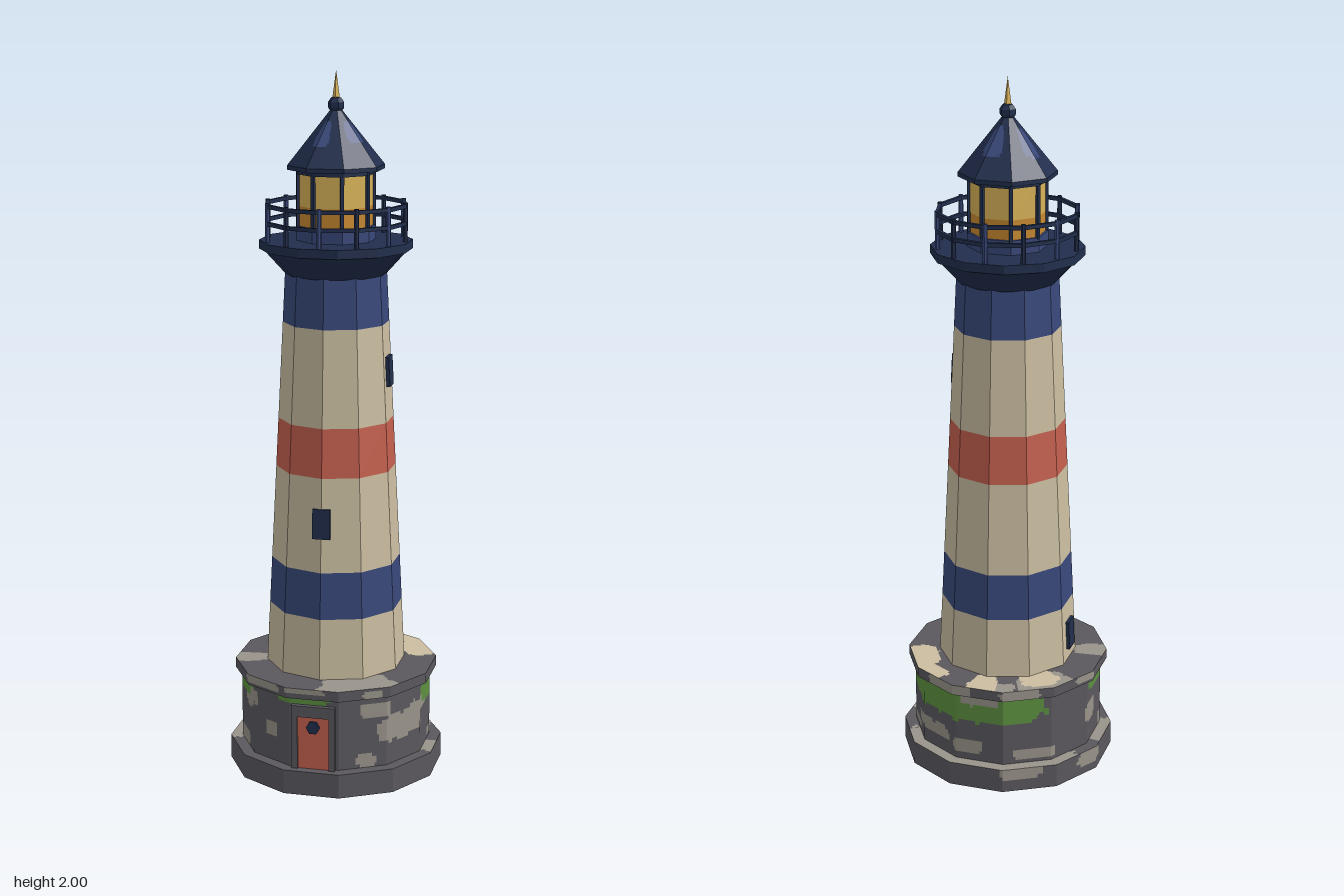
import * as THREE from 'three';

const mat = (name, color) => {
  const m = new THREE.MeshStandardMaterial({ color });
  m.name = name;
  return m;
};
const darkStone = mat('dark stone', 0x5a585e);
const lightStone = mat('light stone', 0x99948a);
const moss = mat('moss', 0x5c9040);
const cream = mat('cream', 0xcbbea1);
const red = mat('red', 0xc4604f);
const navy = mat('navy', 0x38487a);
const ink = mat('dark navy', 0x212e4c);
const gold = mat('golden glass', 0xd8b258);
const amber = mat('amber glass', 0xc88a30);

const RAD = Math.PI / 180;

function add(parent, name, geometry, material, x = 0, y = 0, z = 0) {
  const flat = geometry.index ? geometry.toNonIndexed() : geometry;
  flat.computeVertexNormals();
  const mesh = new THREE.Mesh(flat, material);
  mesh.name = name;
  mesh.position.set(x, y, z);
  parent.add(mesh);
  return mesh;
}

// Many-sided drum between two heights; radii are measured to the corners
function drum(parent, name, sides, r0, r1, y0, y1, material, turn = 0, open = false) {
  const g = new THREE.CylinderGeometry(r1, r0, y1 - y0, sides, 1, open, turn);
  return add(parent, name, g, material, 0, (y0 + y1) / 2, 0);
}

// Many-sided band swept between [radius, y] ends, with blotches of other colours.
// A blotch is [angle, v, half angle, half v, material]; radii are to the flats.
function blotchedBand(parent, name, sides, [r0, y0], [r1, y1], base, blotches = [], rows = 16) {
  const cols = 240, seg = 360 / sides;
  const point = (i, j) => {
    const a = i * 360 / cols, v = j / rows;
    const off = a - Math.round(a / seg) * seg;
    const r = (r0 + (r1 - r0) * v) / Math.cos(off * RAD);
    return [r * Math.sin(a * RAD), y0 + (y1 - y0) * v, r * Math.cos(a * RAD)];
  };
  const pick = (a, v) => {
    let found = base;
    for (const [ba, bv, wa, wv, m] of blotches) {
      const da = ((a - ba + 540) % 360 - 180) / wa, dv = (v - bv) / wv;
      const wobble = 0.15 * Math.sin(a * 0.4 + v * 9) + 0.1 * Math.sin(a * 0.9 - v * 14);
      if (da ** 4 + dv ** 4 < 1 + wobble) found = m;
    }
    return found;
  };
  const buckets = new Map();
  for (let i = 0; i < cols; i++) {
    for (let j = 0; j < rows; j++) {
      const m = pick((i + 0.5) * 360 / cols, (j + 0.5) / rows);
      if (!buckets.has(m)) buckets.set(m, []);
      const [a, b, c, d] = [point(i, j), point(i + 1, j), point(i + 1, j + 1), point(i, j + 1)];
      buckets.get(m).push(...a, ...b, ...c, ...a, ...c, ...d);
    }
  }
  const g = new THREE.BufferGeometry();
  const positions = [], materials = [];
  for (const [m, list] of buckets) {
    g.addGroup(positions.length / 3, list.length / 3, materials.length);
    for (const n of list) positions.push(n);
    materials.push(m);
  }
  g.setAttribute('position', new THREE.Float32BufferAttribute(positions, 3));
  add(parent, name, g, materials);
}

function stoneBase(parent) {
  const g = new THREE.Group();
  g.name = 'stoneBase';
  parent.add(g);
  const S = lightStone;
  const band = (name, a, b, blotches, rows) => blotchedBand(g, name, 12, a, b, darkStone, blotches, rows);
  band('underside', [0, 0], [0.298, 0], [[150, 0.6, 25, 0.2, S], [90, 0.8, 14, 0.16, S], [240, 0.75, 8, 0.1, S]]);
  band('plinthSide', [0.298, 0], [0.298, 0.07], [[205, 0.8, 12, 0.25, S], [250, 0.7, 9, 0.3, S]], 6);
  band('plinthTop', [0.298, 0.07], [0.262, 0.07],
    [[180, 0.5, 62, 1, S], [275, 0.5, 14, 1, S], [85, 0.5, 8, 1, S]], 4);
  // Weathered wall with moss growing under the rim
  band('wall', [0.265, 0.07], [0.265, 0.28], [
    [58, 0.5, 18, 0.18, S], [78, 0.68, 12, 0.1, S], [38, 0.8, 10, 0.1, S], [-55, 0.76, 9, 0.14, S],
    [-68, 0.1, 12, 0.1, S], [-30, 0.45, 5, 0.1, S], [32, 0.1, 7, 0.08, S], [110, 0.1, 14, 0.06, S],
    [140, 0.28, 18, 0.1, S], [172, 0.2, 10, 0.1, S], [215, 0.12, 14, 0.08, S], [262, 0.45, 9, 0.14, S],
    [150, 0.82, 70, 0.24, moss], [286, 0.88, 28, 0.14, moss], [-8, 0.97, 18, 0.06, moss],
    [180, 0.95, 12, 0.12, S], [-48, 0.8, 6, 0.12, S],
  ], 20);
  band('rimUnderside', [0.265, 0.28], [0.282, 0.28], [], 2);
  band('rimSide', [0.282, 0.28], [0.282, 0.31], [
    [-35, 0.6, 14, 0.4, S], [-5, 0.7, 12, 0.3, S], [35, 0.4, 6, 0.4, S], [160, 0.5, 16, 0.5, S],
    [205, 0.5, 12, 0.5, S], [250, 0.6, 8, 0.4, S],
  ], 4);
  band('rimTop', [0.282, 0.31], [0.15, 0.31], [
    [28, 0.25, 25, 0.6, S], [284, 0.15, 8, 0.55, S], [222, 0.25, 18, 0.4, S], [190, 0.1, 12, 0.3, S],
    [181, 0.3, 9, 0.4, cream], [140, 0.15, 14, 0.22, cream], [120, 0.28, 14, 0.3, cream],
    [221, 0.48, 14, 0.35, cream],
  ]);
  // Door with jambs, lintel and peephole
  add(g, 'door', new THREE.BoxGeometry(0.09, 0.155, 0.02), red, 0, 0.1475, 0.262);
  for (const s of [-1, 1])
    add(g, 'doorJamb', new THREE.BoxGeometry(0.018, 0.155, 0.03), darkStone, s * 0.054, 0.1475, 0.263);
  add(g, 'doorLintel', new THREE.BoxGeometry(0.126, 0.033, 0.032), darkStone, 0, 0.2415, 0.263);
  const hole = add(g, 'doorWindow', new THREE.CylinderGeometry(0.02, 0.02, 0.008, 6), ink, 0, 0.195, 0.275);
  hole.rotation.set(Math.PI / 2, Math.PI / 6, 0);
}

function tower(parent) {
  const g = new THREE.Group();
  g.name = 'tower';
  parent.add(g);
  const radius = y => 0.2 - 0.057 * (y - 0.31) / 1.13;
  const levels = [0.31, 0.485, 0.62, 0.89, 1.03, 1.305, 1.445];
  const paint = [cream, navy, cream, red, cream, navy];
  paint.forEach((m, i) => {
    const [a, b] = [levels[i], levels[i + 1]];
    drum(g, m === cream ? 'towerWall' : 'towerStripe', 10, radius(a), radius(b), a, b, m, 0, true);
  });
  // Windows climbing round the tower: [angle, y, distance out]
  for (const [a, y, d] of [[-90, 0.385, 0.186], [0, 0.76, 0.17], [90, 1.17, 0.149]]) {
    const w = add(g, 'window', new THREE.BoxGeometry(0.05, 0.085, 0.02), ink,
      d * Math.sin(a * RAD), y, d * Math.cos(a * RAD));
    w.rotation.order = 'YXZ';
    w.rotation.set(-0.05, a * RAD, 0);
  }
}

function gallery(parent) {
  const g = new THREE.Group();
  g.name = 'gallery';
  parent.add(g);
  const turn = Math.PI / 12;
  drum(g, 'galleryFlare', 12, 0.143, 0.205, 1.442, 1.51, ink, turn);
  drum(g, 'galleryDeck', 12, 0.214, 0.214, 1.51, 1.535, ink, turn);
  // Railing: twelve posts joined by straight rails
  const R = 0.196, half = R * Math.cos(turn), length = 2 * R * Math.sin(turn) + 0.004;
  for (let i = 0; i < 12; i++) {
    const a = i * Math.PI / 6, b = a + turn;
    add(g, 'railPost', new THREE.CylinderGeometry(0.007, 0.007, 0.107, 6), i % 2 ? ink : navy,
      R * Math.sin(a), 1.5885, R * Math.cos(a));
    for (const y of [1.585, 1.633]) {
      const rail = add(g, 'rail', new THREE.BoxGeometry(length, 0.011, 0.01), ink,
        half * Math.sin(b), y, half * Math.cos(b));
      rail.rotation.y = b;
    }
  }
}

function lantern(parent) {
  const g = new THREE.Group();
  g.name = 'lantern';
  parent.add(g);
  const turn = Math.PI / 8;
  drum(g, 'lanternSill', 8, 0.112, 0.112, 1.535, 1.575, navy, turn);
  drum(g, 'lowerGlass', 8, 0.105, 0.105, 1.575, 1.63, amber, turn, true);
  drum(g, 'upperGlass', 8, 0.105, 0.105, 1.63, 1.73, gold, turn, true);
  drum(g, 'lanternHead', 8, 0.112, 0.112, 1.718, 1.735, ink, turn);
  for (let i = 0; i < 8; i++) {
    const a = turn + i * Math.PI / 4;
    const bar = add(g, 'glazingBar', new THREE.BoxGeometry(0.01, 0.16, 0.01), ink,
      0.106 * Math.sin(a), 1.65, 0.106 * Math.cos(a));
    bar.rotation.y = a;
  }
  // Roof with lighter blotches near the peak, topped by a ball and spire
  drum(g, 'roofEave', 8, 0.137, 0.137, 1.73, 1.742, ink, turn);
  blotchedBand(g, 'roof', 8, [0.126, 1.742], [0.016, 1.89], ink, [
    [162, 0.62, 24, 0.24, navy], [252, 0.58, 20, 0.25, navy], [340, 0.6, 18, 0.22, navy], [64, 0.62, 24, 0.2, navy],
  ]);
  add(g, 'roofBall', new THREE.SphereGeometry(0.024, 6, 5), ink, 0, 1.905, 0);
  add(g, 'spire', new THREE.ConeGeometry(0.011, 0.08, 4), gold, 0, 1.96, 0);
}

export function createModel() {
  const model = new THREE.Group();
  model.name = 'lighthouse';
  for (const build of [stoneBase, tower, gallery, lantern]) build(model);
  return model;
}
